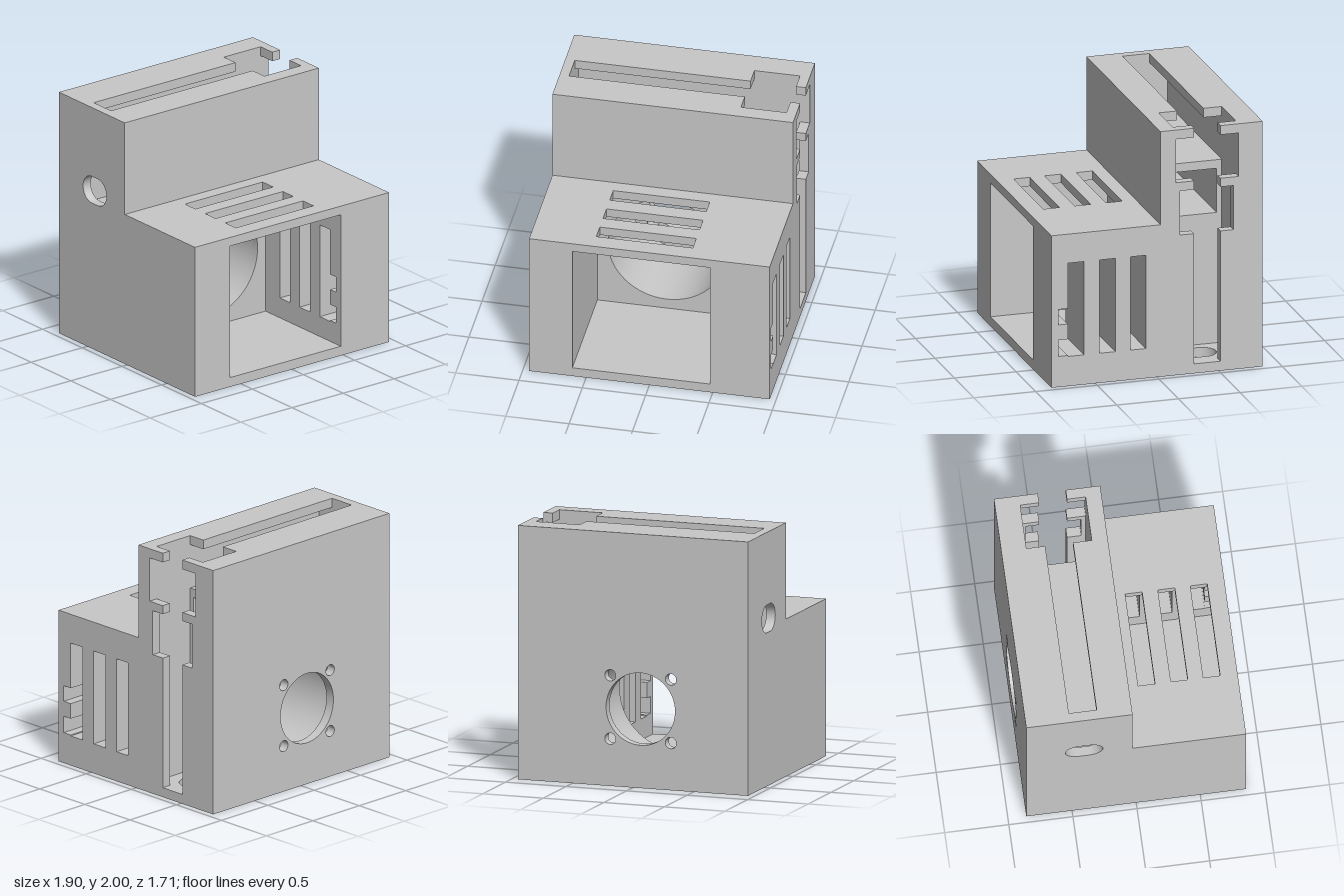
import * as THREE from 'three';
import { toCreasedNormals } from 'three/addons/utils/BufferGeometryUtils.js';

const grey = new THREE.MeshStandardMaterial({ color: 0xc8c8c8 });
grey.name = 'grey';

// outlines as lists of [a, b] corners
const rect = (a0, a1, b0, b1) => [[a0, b0], [a1, b0], [a1, b1], [a0, b1]];
const circle = (a, b, r) => Array.from({ length: 64 }, (_, i) => {
  const t = i / 64 * Math.PI * 2;
  return [a + r * Math.cos(t), b + r * Math.sin(t)];
});
// rounded slot, long in a by 2 * (r + straight)
const stadium = (a, b, r, straight) => Array.from({ length: 50 }, (_, i) => {
  const right = i < 25;
  const t = -Math.PI / 2 + (right ? i : i - 1) / 24 * Math.PI;
  return [a + (right ? straight : -straight) + r * Math.cos(t), b + r * Math.sin(t)];
});

export function createModel() {
  const model = new THREE.Group();

  const add = (name, geometry) => {
    const mesh = new THREE.Mesh(geometry, grey);
    mesh.name = name;
    model.add(mesh);
  };

  const box = (name, x0, x1, y0, y1, z0, z1) => {
    const g = new THREE.BoxGeometry(x1 - x0, y1 - y0, z1 - z0);
    add(name, g.translate((x0 + x1) / 2, (y0 + y1) / 2, (z0 + z1) / 2));
  };

  // plate with holes; corners are [x, y] on axis z, [z, y] on axis x, [x, z] on axis y
  const plate = (name, axis, from, to, outline, holes = []) => {
    // outline counter-clockwise, holes clockwise, so every wall faces outwards
    const points = (list, clockwise) => {
      const p = list.map(([a, b]) =>
        new THREE.Vector2(axis === 'x' ? -a : a, axis === 'y' ? -b : b));
      return THREE.ShapeUtils.isClockWise(p) === clockwise ? p : p.reverse();
    };
    const shape = new THREE.Shape(points(outline, false));
    shape.holes = holes.map((h) => new THREE.Path(points(h, true)));
    const g = new THREE.ExtrudeGeometry(shape, { depth: to - from, bevelEnabled: false });
    g.translate(0, 0, from);
    if (axis === 'x') g.rotateY(Math.PI / 2);
    if (axis === 'y') g.rotateX(-Math.PI / 2);
    add(name, toCreasedNormals(g, 0.5));
  };

  const W = 0.95, D = 0.857;
  const cx = -0.062, cy = 0.622;       // fan axis
  const zF = -0.152, zB = -0.662;      // wide pocket, front and back
  const sF = -0.298, sB = -0.515;      // narrow slit, front and back
  const xI = 0.513, xO = 0.873;        // vertical pocket, inner and outer side

  // front chamber
  box('chamberFloor', -W, 0.48, 0, 0.077, -0.09, D);
  box('chamberLeftWall', -W, -0.608, 0.077, 1.168, -0.09, D);
  const vents = [[0.09, 0.215], [0.338, 0.468]].map(([a, b]) => rect(a, b, 0.242, 1.003));
  vents.push([
    [0.593, 0.242], [0.723, 0.242], [0.723, 0.25], [0.8, 0.25], [0.8, 0.383], [0.723, 0.383],
    [0.723, 0.507], [0.8, 0.507], [0.8, 0.633], [0.723, 0.633], [0.723, 1.003], [0.593, 1.003],
  ]);
  plate('ventedSideWall', 'x', 0.477, W, rect(-0.09, D, 0, 1.168), vents);
  plate('ventedRoof', 'y', 1.168, 1.24, rect(-W, W, -0.09, D),
    [0.082, 0.337, 0.59].map((z) => rect(-0.447, 0.315, z, z + 0.132)));

  // round recess behind the chamber, and the drilled back plate
  const recess = circle(cx, cy, 0.461);
  plate('recessFace', 'z', zF, -0.09, rect(-W, W, 0, 1.24), [recess]);
  plate('recessBlock', 'z', -0.78, zF, rect(-W, xI, 0, 1.14), [recess]);
  const bores = [circle(cx, cy, 0.285)];
  for (const dx of [-0.25, 0.25]) {
    for (const dy of [-0.25, 0.25]) bores.push(circle(cx + dx, cy + dy, 0.045));
  }
  plate('backPlate', 'z', -D, -0.78, rect(-W, W, 0, 2), bores);

  // solid walls around the rear pockets
  box('upperFrontWall', -W, W, 1.24, 2, zF, -0.028);
  box('upperBackWall', -W, W, 1.14, 2, -0.78, zB);
  box('lowerBackWall', xI, W, 0, 1.14, -0.78, zB);

  // vertical pocket: floor with a rounded slot, slit side wall with two windows
  plate('pocketFloor', 'y', 0, 0.077, rect(xI, W, zB, zF),
    [stadium(-0.41, 0.693, 0.11, 0.038).map(([a, b]) => [b, a])]);
  const wF = -0.187, wB = -0.62;       // lower window, front and back
  for (const [edge, slit, win] of [[zF, sF, wF], [zB, sB, wB]]) {
    plate('slitSideWall', 'x', xO, W, [
      [edge, 0.077], [edge, 1.57], [slit, 1.57], [slit, 1.5],
      [win, 1.5], [win, 1.14], [slit, 1.14], [slit, 0.077],
    ]);
    const [z0, z1] = [edge, slit].sort((a, b) => a - b);
    box('slitTopLip', xO, W, 1.925, 2, z0, z1);
    box('topLip', -0.875, xI, 1.925, 2, z0, z1);
  }

  // two horizontal pockets, one above the other
  plate('pocketEndWall', 'x', -W, -0.875, rect(zB, zF, 1.14, 2),
    [stadium(-0.406, 1.318, 0.11, 0.037)]);
  box('pocketDivider', -0.875, xI, 1.5, 1.57, zB, zF);
  box('lowerPocketSide', -0.875, xI, 1.14, 1.5, wF, zF);
  box('lowerPocketSide', -0.875, xI, 1.14, 1.5, zB, wB);

  return model;
}
